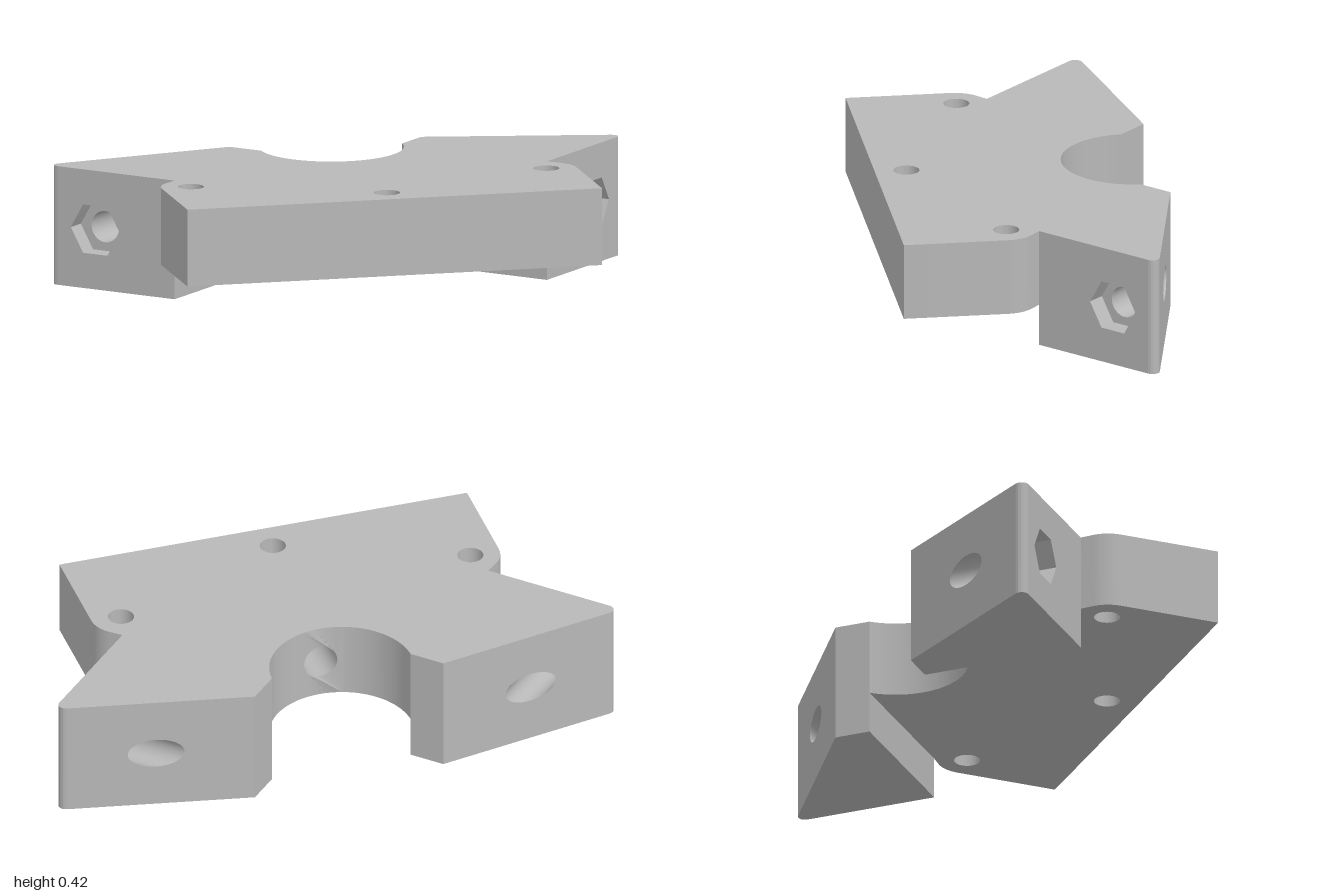
import * as THREE from 'three';
import { toCreasedNormals } from 'three/addons/utils/BufferGeometryUtils.js';

const TOP = 0.417, PLATE_BOTTOM = 0.147;
const BORE_R = 0.25, BORE_Z = -0.408;
const SLOT = 0.08, SLOT_END = 0.25;   // drilled block in the middle of the plate
const S = Math.SQRT1_2;

const boreZ = (x) => BORE_Z + Math.sqrt(BORE_R * BORE_R - x * x);

function circle(x, y, r, sides) {
  const pts = [];
  for (let i = 0; i < sides; i++) {
    const a = (i / sides) * Math.PI * 2;
    pts.push(new THREE.Vector2(x + Math.cos(a) * r, y + Math.sin(a) * r));
  }
  return new THREE.Path(pts);
}

// Rectangle with finely divided lower and upper edges
function rect(x0, x1, y0, y1, n = 1) {
  const pts = [];
  for (let i = 0; i <= n; i++) pts.push(new THREE.Vector2(x0 + (x1 - x0) * i / n, y0));
  for (let i = n; i >= 0; i--) pts.push(new THREE.Vector2(x0 + (x1 - x0) * i / n, y1));
  return new THREE.Shape(pts);
}

// Extrude a shape by one unit, then place each point by a rule
function extrudeBy(shape, rule) {
  const geo = new THREE.ExtrudeGeometry(shape, { depth: 1, bevelEnabled: false, curveSegments: 32 });
  const p = geo.attributes.position;
  for (let i = 0; i < p.count; i++) p.setXYZ(i, ...rule(p.getX(i), p.getY(i), p.getZ(i)));
  return geo;
}

// Upright extrusion of a plan drawn as (x, -z)
const upright = (shape, y0, y1) => extrudeBy(shape, (x, y, z) => [x, y0 + (y1 - y0) * z, -y]);

function mirrorX(geo) {
  const g = geo.clone();
  const p = g.attributes.position;
  const a = new THREE.Vector3(), b = new THREE.Vector3();
  g.scale(-1, 1, 1);
  for (let i = 0; i < p.count; i += 3) {
    a.fromBufferAttribute(p, i + 1);
    b.fromBufferAttribute(p, i + 2);
    p.setXYZ(i + 1, b.x, b.y, b.z);
    p.setXYZ(i + 2, a.x, a.y, a.z);
  }
  return g;
}

export function createModel() {
  const group = new THREE.Group();
  group.name = 'clampBracket';
  const grey = new THREE.MeshStandardMaterial({ color: 0xb8b8b8 });
  grey.name = 'grey';

  function add(parent, name, geo) {
    geo.computeVertexNormals();
    const mesh = new THREE.Mesh(toCreasedNormals(geo, 0.4), grey);
    mesh.name = name;
    parent.add(mesh);
  }

  // Plate with the round bore, the middle slot and three screw holes
  const plan = new THREE.Shape();
  const a0 = Math.asin((BORE_Z + 0.4) / BORE_R);
  const a1 = -Math.acos(SLOT / BORE_R);
  plan.moveTo(-0.735, -0.49);
  plan.lineTo(0.735, -0.49);
  plan.lineTo(0.735, -0.13);
  plan.quadraticCurveTo(0.735, -0.08, 0.70, -0.045);
  plan.lineTo(0.66, -0.01);
  plan.lineTo(0.25, 0.40);
  plan.absarc(0, -BORE_Z, BORE_R, a0, a1, true);
  plan.lineTo(SLOT, -SLOT_END);
  plan.lineTo(-SLOT, -SLOT_END);
  plan.absarc(0, -BORE_Z, BORE_R, -Math.PI - a1, -Math.PI - a0, true);
  plan.lineTo(-0.25, 0.40);
  plan.lineTo(-0.66, -0.01);
  plan.lineTo(-0.70, -0.045);
  plan.quadraticCurveTo(-0.735, -0.08, -0.735, -0.13);
  for (const [x, z] of [[-0.63, 0.12], [0.63, 0.12], [0, 0.38]]) {
    plan.holes.push(circle(x, -z, 0.045, 32));
  }
  add(group, 'plate', upright(plan, PLATE_BOTTOM, TOP));

  // Middle block, drilled from the bore wall towards the front
  const block = rect(-SLOT, SLOT, PLATE_BOTTOM, TOP, 8);
  block.holes.push(circle(0, (PLATE_BOTTOM + TOP) / 2, 0.06, 32));
  add(group, 'drilledBlock', extrudeBy(block, (x, y, z) => {
    const back = boreZ(x);
    return [x, y, back + (SLOT_END - back) * z];
  }));

  // Wings: u runs along the slanted outer face, d goes straight into it
  const place = (u, y, d) => [0.66 + (u - d) * S, y, 0.01 - (u + d) * S];
  const U0 = 0.127, U1 = 0.471, DEEP = 0.58, POCKET = 0.067;
  const backDepth = (u) => DEEP + (u - U0) / (U1 - U0) * (0.069 - DEEP);
  const holeU = 0.318, holeY = TOP / 2;

  const inner = rect(0, U0, 0, TOP);
  const pocketLayer = rect(U0, U1, 0, TOP);
  pocketLayer.holes.push(circle(holeU, holeY, 0.098, 6));
  const holeLayer = rect(U0, U1, 0, TOP);
  holeLayer.holes.push(circle(holeU, holeY, 0.055, 32));

  // Rounded wing tip
  const tip = new THREE.Shape();
  tip.moveTo(0.993, 0.323);
  tip.absarc(0.975, 0.34, 0.025, -Math.PI / 4, 1.38, false);
  tip.lineTo(0.944, 0.372);

  const wingParts = {
    wingInner: extrudeBy(inner, (u, y, z) => place(u, y, (1 - z) * DEEP)),
    wingNutPocket: extrudeBy(pocketLayer, (u, y, z) => place(u, y, (1 - z) * POCKET)),
    wingBoltHole: extrudeBy(holeLayer, (u, y, z) =>
      place(u, y, POCKET + (1 - z) * (backDepth(u) - POCKET))),
    wingTip: upright(tip, 0, TOP),
  };
  for (const side of ['left', 'right']) {
    const wing = new THREE.Group();
    wing.name = side + 'Wing';
    for (const [name, geo] of Object.entries(wingParts)) {
      add(wing, name, side === 'left' ? geo.clone() : mirrorX(geo));
    }
    group.add(wing);
  }
  return group;
}
